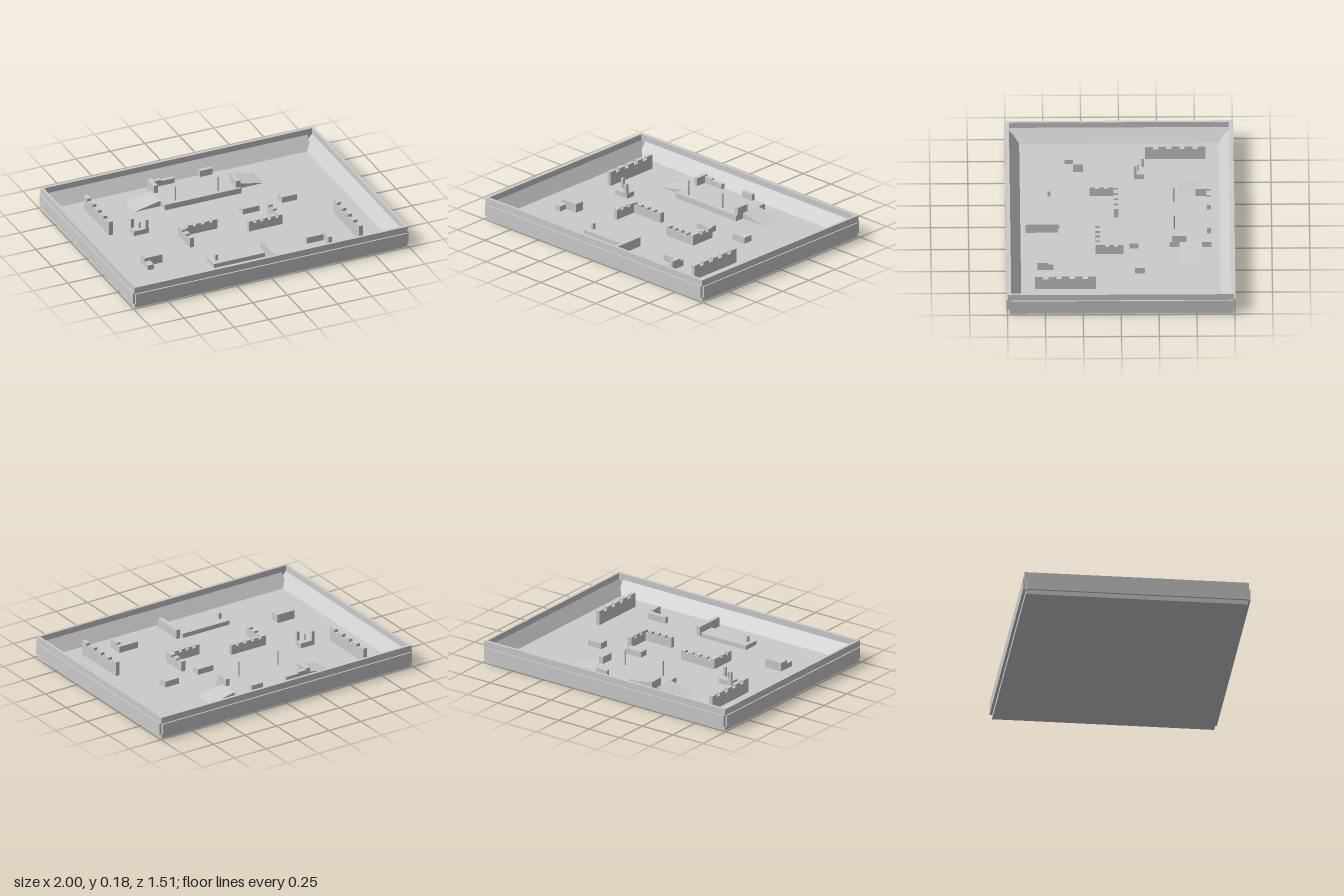
import * as THREE from 'three';

const FLOOR = 0.03;

export function createModel() {
  const model = new THREE.Group();
  const mat = new THREE.MeshStandardMaterial({ color: 0xcccccc, flatShading: true });

  const add = (name, geo, parent = model) => {
    const mesh = new THREE.Mesh(geo, mat);
    mesh.name = name;
    parent.add(mesh);
    return mesh;
  };
  const group = (name) => {
    const g = new THREE.Group();
    g.name = name;
    model.add(g);
    return g;
  };
  // Box given by its extents on each axis
  const box = (name, x0, x1, y0, y1, z0, z1, parent) => {
    const m = add(name, new THREE.BoxGeometry(x1 - x0, y1 - y0, z1 - z0), parent);
    m.position.set((x0 + x1) / 2, (y0 + y1) / 2, (z0 + z1) / 2);
    return m;
  };
  // Box standing on the arena floor
  const block = (name, x0, x1, z0, z1, h, parent) => box(name, x0, x1, FLOOR, FLOOR + h, z0, z1, parent);
  // Row of evenly spaced teeth on top of a wall, along its longer side
  const battlement = (name, x0, x1, z0, z1, h, count, toothH, parent) => {
    block(name, x0, x1, z0, z1, h, parent);
    const alongX = x1 - x0 > z1 - z0;
    const start = alongX ? x0 : z0;
    const step = (alongX ? x1 - x0 : z1 - z0) / (count - 0.4);
    for (let i = 0; i < count; i++) {
      const a = start + i * step, b = a + step * 0.6, y = FLOOR + h;
      if (alongX) box('tooth', a, b, y, y + toothH, z0, z1, parent);
      else box('tooth', x0, x1, y, y + toothH, a, b, parent);
    }
  };
  // Triangular prism: profile in x,y extruded along z from z0 to z1
  const prism = (name, pts, z0, z1, parent) => {
    const shape = new THREE.Shape(pts.map(([x, y]) => new THREE.Vector2(x, y)));
    const m = add(name, new THREE.ExtrudeGeometry(shape, { depth: z1 - z0, bevelEnabled: false }), parent);
    m.position.z = z0;
    return m;
  };
  const pole = (name, x, z, r, y0, y1, parent) => {
    const m = add(name, new THREE.CylinderGeometry(r, r, y1 - y0, 8), parent);
    m.position.set(x, (y0 + y1) / 2, z);
  };

  // Tray: floor slab, walls, raised rim and outer bumper strips
  const tray = group('tray');
  box('floor', -0.985, 0.985, 0, FLOOR, -0.737, 0.737, tray);
  for (const s of [-1, 1]) {
    const span = (a, b) => (s > 0 ? [a, b] : [-b, -a]);
    const [sx0, sx1] = span(0.973, 0.985);
    const [ux0, ux1] = span(0.973, 0.991);
    const [bx0, bx1] = span(0.98, 1);
    box('sideWall', sx0, sx1, FLOOR, 0.155, -0.737, 0.737, tray);
    box('sideRim', ux0, ux1, 0.11, 0.155, -0.745, 0.745, tray);
    box('sideBumper', bx0, bx1, FLOOR, 0.11, -0.735, 0.735, tray);
    const [sz0, sz1] = span(0.725, 0.737);
    const [uz0, uz1] = span(0.725, 0.745);
    const [bz0, bz1] = span(0.735, 0.755);
    box('endWall', -0.985, 0.985, FLOOR, 0.155, sz0, sz1, tray);
    box('endRim', -0.991, 0.991, 0.11, 0.155, uz0, uz1, tray);
    box('endBumper', -0.985, 0.985, FLOOR, 0.11, bz0, bz1, tray);
  }

  // Sloped banks along the inside of the walls
  const banks = group('banks');
  const bank = (edge, half, turn) => {
    const m = prism('bank', [[edge - 0.068, FLOOR], [edge, FLOOR], [edge, 0.115]], -half, half, new THREE.Group());
    m.geometry.translate(0, 0, -half);
    m.position.z = 0;
    m.rotation.y = turn;
    banks.add(m);
  };
  bank(0.974, 0.725, 0);
  bank(0.974, 0.725, Math.PI);
  bank(0.726, 0.94, Math.PI / 2);
  bank(0.726, 0.94, -Math.PI / 2);

  // Long battlement walls near the two sides
  const longWalls = group('longWalls');
  battlement('longWall', -0.755, -0.727, -0.57, -0.172, 0.08, 5, 0.02, longWalls);
  battlement('longWall', 0.72, 0.748, 0.165, 0.565, 0.08, 5, 0.02, longWalls);

  // Two L-shaped ruins in the middle
  const ruins = group('cornerRuins');
  battlement('ruinWall', -0.34, -0.065, 0.01, 0.04, 0.055, 5, 0.015, ruins);
  battlement('ruinWall', -0.34, -0.31, 0.04, 0.2, 0.055, 3, 0.015, ruins);
  battlement('ruinWall', 0.105, 0.35, 0.135, 0.165, 0.055, 5, 0.018, ruins);
  battlement('ruinWall', 0.32, 0.35, -0.02, 0.135, 0.055, 3, 0.018, ruins);

  // Crate with three posts
  const crate = group('postedCrate');
  block('crate', -0.61, -0.502, -0.163, -0.095, 0.035, crate);
  block('post', -0.607, -0.588, -0.163, -0.145, 0.1, crate);
  block('post', -0.561, -0.552, -0.13, -0.121, 0.08, crate);
  block('post', -0.524, -0.505, -0.113, -0.095, 0.1, crate);

  // Loose crates
  block('crate', 0.165, 0.287, -0.12, -0.06, 0.04);
  block('crate', 0.465, 0.572, -0.16, -0.093, 0.042);
  block('tallCrate', -0.717, -0.585, 0.24, 0.305, 0.06);
  block('lowCrate', -0.717, -0.675, 0.305, 0.362, 0.035);

  // Low platform with a stub and a screening wall
  const low = group('lowPlatform');
  block('platform', -0.31, 0.06, 0.4, 0.518, 0.03, low);
  block('stub', -0.282, -0.264, 0.455, 0.476, 0.07, low);
  block('screenWall', 0.075, 0.105, 0.41, 0.625, 0.065, low);

  // Small L-shaped cover
  const cover = group('smallCover');
  block('coverWall', 0.385, 0.532, 0.443, 0.475, 0.045, cover);
  block('coverWall', 0.505, 0.532, 0.475, 0.55, 0.06, cover);

  // Raised platform with ramps, parapets and poles
  const fort = group('raisedPlatform');
  const deck = FLOOR + 0.04;
  block('platform', -0.28, 0.275, -0.6, -0.325, 0.04, fort);
  prism('leftRamp', [[-0.47, FLOOR], [-0.28, FLOOR], [-0.28, deck]], -0.54, -0.39, fort);
  prism('rightRamp', [[0.275, FLOOR], [0.465, FLOOR], [0.275, deck]], -0.54, -0.39, fort);
  block('parapet', -0.28, -0.25, -0.6, -0.5, 0.095, fort);
  block('parapet', -0.25, -0.19, -0.6, -0.573, 0.085, fort);
  block('parapet', -0.19, -0.097, -0.6, -0.573, 0.075, fort);
  block('parapet', 0.09, 0.18, -0.6, -0.573, 0.085, fort);
  block('parapet', 0.245, 0.275, -0.435, -0.34, 0.09, fort);
  for (const x of [-0.19, 0.12]) pole('pole', x, -0.355, 0.006, deck, 0.176, fort);

  return model;
}
